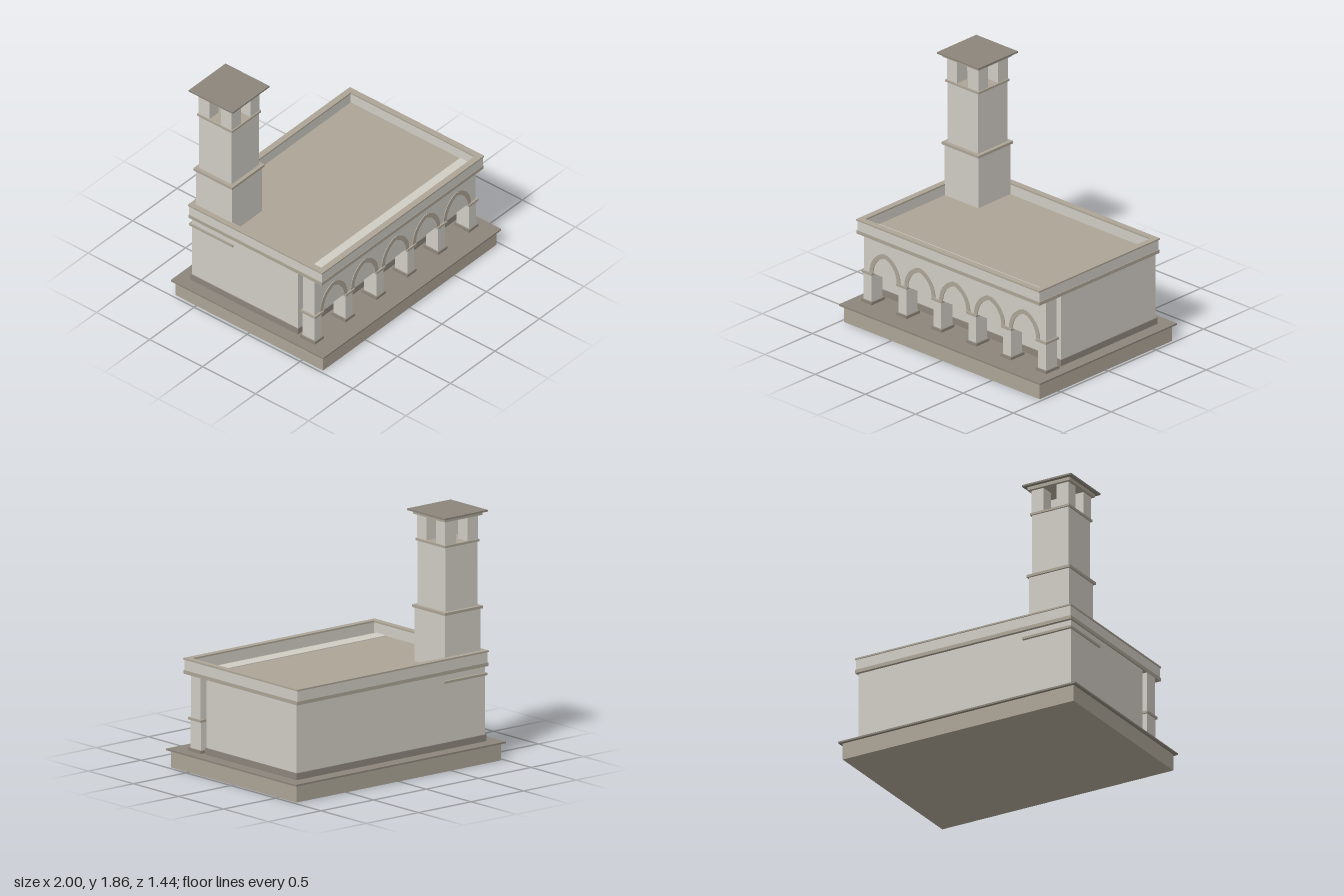
import * as THREE from 'three';

const material = (color) => new THREE.MeshStandardMaterial({ color, flatShading: true });

export function createModel() {
  const model = new THREE.Group();
  const plaster = material(0xd0ccc4);
  const stone = material(0xaca496);
  const dark = material(0x8c857b);

  // Box given by its x, y and z ranges
  const box = (name, mat, [x0, x1], [y0, y1], [z0, z1], parent = model) => {
    const mesh = new THREE.Mesh(new THREE.BoxGeometry(x1 - x0, y1 - y0, z1 - z0), mat);
    mesh.position.set((x0 + x1) / 2, (y0 + y1) / 2, (z0 + z1) / 2);
    mesh.name = name;
    parent.add(mesh);
    return mesh;
  };

  // Rectangular frame, extruded upwards
  const frame = (name, mat, hx, hz, inX, inZ, y0, y1) => {
    const rect = (Path, x, z) => new Path([[-x, -z], [x, -z], [x, z], [-x, z]].map((p) => new THREE.Vector2(...p)));
    const shape = rect(THREE.Shape, hx, hz);
    shape.holes.push(rect(THREE.Path, inX, inZ));
    const geo = new THREE.ExtrudeGeometry(shape, { depth: y1 - y0, bevelEnabled: false });
    geo.rotateX(-Math.PI / 2);
    const mesh = new THREE.Mesh(geo, mat);
    mesh.position.y = y0;
    mesh.name = name;
    model.add(mesh);
  };

  // Stepped ground platform
  box('platform', stone, [-0.975, 0.975], [0, 0.127], [-0.697, 0.697]);
  box('platformSlab', dark, [-1, 1], [0.127, 0.14], [-0.72, 0.72]);

  // Enclosed hall with its base course
  box('hall', plaster, [-0.897, 0.897], [0.14, 0.7], [-0.606, 0.392]);
  box('hallBaseCourse', dark, [-0.905, 0.905], [0.14, 0.19], [-0.617, 0.4]);

  // Flat roof, parapet and coping
  box('roofSlab', stone, [-0.91, 0.91], [0.7, 0.727], [-0.63, 0.63]);
  frame('parapet', plaster, 0.905, 0.627, 0.865, 0.587, 0.727, 0.805);
  frame('parapetCoping', stone, 0.911, 0.634, 0.864, 0.586, 0.805, 0.817);

  // Arcade wall carried on the columns
  box('arcadeWall', plaster, [-0.905, 0.905], [0.39, 0.733], [0.447, 0.557]);

  // Six square columns
  const spacing = 0.347;
  for (let i = 0; i < 6; i++) {
    const x = (i - 2.5) * spacing;
    const column = new THREE.Group();
    column.name = 'column';
    const part = (name, mat, hx, y, hz) => box(name, mat, [x - hx, x + hx], y, [0.502 - hz, 0.502 + hz], column);
    part('columnBase', dark, 0.052, [0.14, 0.162], 0.07);
    part('columnShaft', plaster, 0.039, [0.162, 0.372], 0.058);
    part('columnCapital', stone, 0.051, [0.372, 0.39], 0.07);
    model.add(column);
  }

  // Pointed arch mouldings, each half struck from its own centre
  const inner = 0.161, outer = 0.196, offset = 0.043, steps = 12;
  const apex = Math.acos(offset / inner);
  const arc = (radius, end) => Array.from({ length: steps + 1 }, (_, i) => {
    const a = (end * i) / steps;
    return new THREE.Vector2(radius * Math.cos(a) - offset, radius * Math.sin(a));
  });
  const mirrored = (points) => points.map((p) => new THREE.Vector2(-p.x, p.y)).reverse();
  const outside = arc(outer, apex);
  const inside = arc(inner, apex).slice(0, -1);
  const archShape = new THREE.Shape([
    ...outside, new THREE.Vector2(0, 0.178), ...mirrored(outside),
    ...mirrored(inside).reverse(), new THREE.Vector2(0, inner * Math.sin(apex)), ...inside.slice().reverse(),
  ]);
  const archGeometry = new THREE.ExtrudeGeometry(archShape, { depth: 0.122, bevelEnabled: false });
  for (let i = -2; i <= 2; i++) {
    const arch = new THREE.Mesh(archGeometry, stone);
    arch.position.set(i * spacing, 0.39, 0.441);
    arch.name = 'archMoulding';
    model.add(arch);
  }

  // Chimney tower at the back corner: name, material, half width, bottom, top
  const tower = new THREE.Group();
  tower.name = 'chimney';
  model.add(tower);
  const cx = -0.702, cz = -0.42;
  [
    ['chimneyFootBand', stone, 0.206, 0.632, 0.65],
    ['chimneyLowerShaft', plaster, 0.169, 0.65, 1.13],
    ['chimneyMiddleBand', stone, 0.183, 1.13, 1.15],
    ['chimneyUpperShaft', plaster, 0.153, 1.15, 1.628],
    ['chimneyUpperBand', stone, 0.165, 1.628, 1.645],
    ['chimneyCapBand', stone, 0.178, 1.825, 1.85],
    ['chimneyCapPlate', dark, 0.207, 1.85, 1.863],
  ].forEach(([name, mat, h, y0, y1]) => box(name, mat, [cx - h, cx + h], [y0, y1], [cz - h, cz + h], tower));

  // Four posts of the open lantern
  for (const sx of [-1, 1]) for (const sz of [-1, 1]) {
    const x = cx + sx * 0.105, z = cz + sz * 0.105;
    box('lanternPost', plaster, [x - 0.051, x + 0.051], [1.645, 1.825], [z - 0.051, z + 0.051], tower);
  }

  return model;
}
